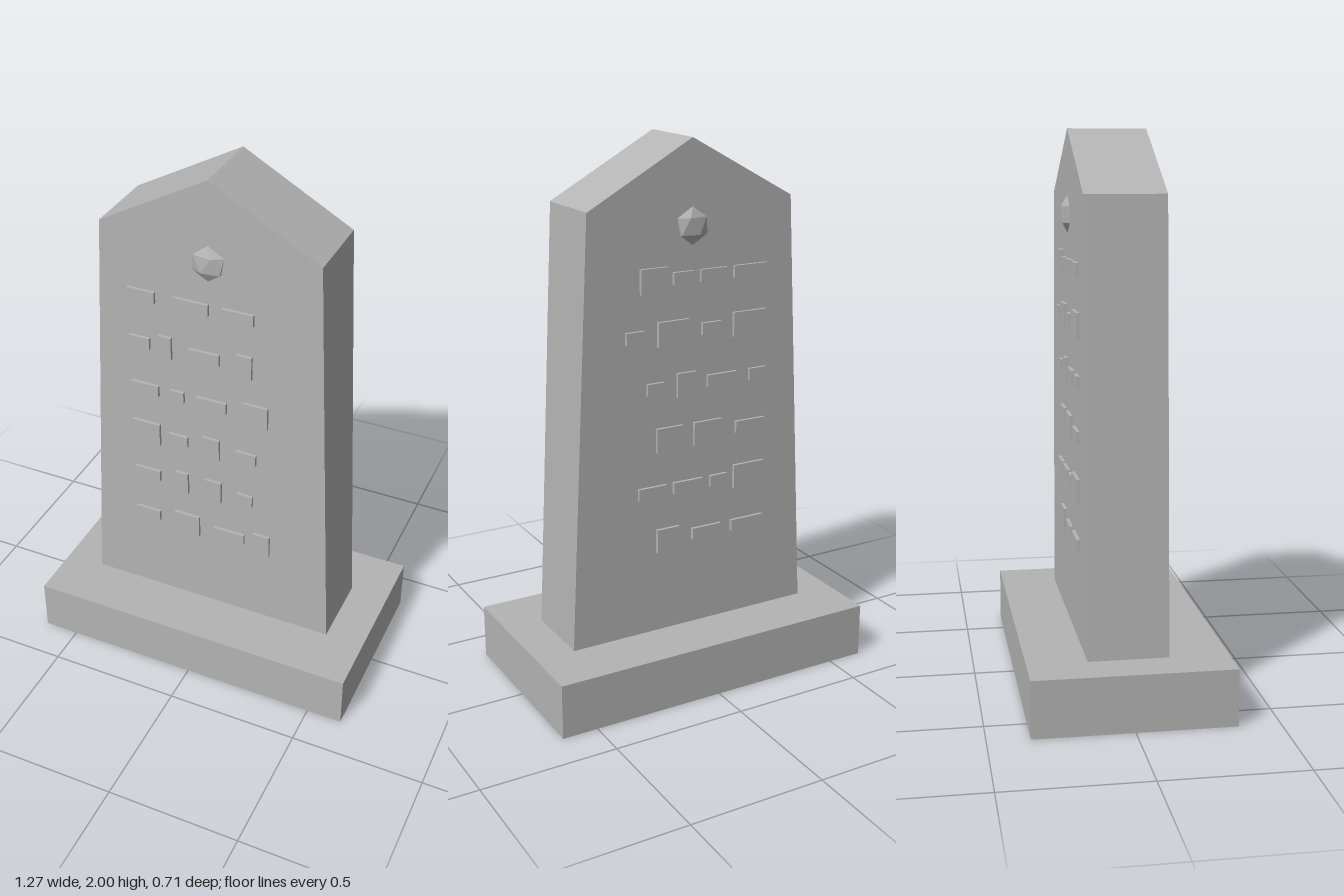
import * as THREE from 'three';
import { ConvexGeometry } from 'three/addons/geometries/ConvexGeometry.js';

const HALF_DEPTH = 0.142;
const ROW_Y = [1.524, 1.332, 1.138, 0.945, 0.753, 0.56];

// Raised marks per row, top to bottom: [x start, x end, tall?]
const FRONT_MARKS = [
  [[-0.305, -0.2], [-0.13, 0.003], [0.053, 0.17]],
  [[-0.305, -0.225], [-0.19, -0.14, 1], [-0.073, 0.043], [0.107, 0.166, 1]],
  [[-0.305, -0.195], [-0.147, -0.095], [-0.047, 0.07], [0.134, 0.228, 1]],
  [[-0.305, -0.195, 1], [-0.158, -0.083], [-0.025, 0.043, 1], [0.106, 0.186]],
  [[-0.305, -0.2], [-0.136, -0.084, 1], [-0.015, 0.05, 1], [0.113, 0.175]],
  [[-0.305, -0.205], [-0.143, -0.041, 1], [0.017, 0.143], [0.18, 0.245, 1]],
];
const BACK_MARKS = [
  [[-0.305, -0.167], [-0.137, -0.03], [0, 0.078], [0.1, 0.207, 1]],
  [[-0.305, -0.167, 1], [-0.114, -0.037], [0.017, 0.14, 1], [0.193, 0.265]],
  [[-0.305, -0.236], [-0.182, -0.06], [-0.013, 0.063, 1], [0.117, 0.183]],
  [[-0.305, -0.182], [-0.121, -0.006, 1], [0.04, 0.147, 1]],
  [[-0.305, -0.175, 1], [-0.144, -0.075], [-0.044, 0.078], [0.109, 0.22]],
  [[-0.305, -0.167], [-0.121, 0], [0.055, 0.147, 1]],
];

export function createModel() {
  const model = new THREE.Group();
  const stone = new THREE.MeshStandardMaterial({ color: 0xb4b4b4 });
  stone.name = 'grey stone';

  const add = (geometry, name, x, y, z, parent = model) => {
    const mesh = new THREE.Mesh(geometry, stone);
    mesh.name = name;
    mesh.position.set(x, y, z);
    parent.add(mesh);
  };

  // Plinth
  add(new THREE.BoxGeometry(1.266, 0.203, 0.706), 'plinth', 0, 0.1015, 0);

  // Tapered slab with a gabled top
  const outline = new THREE.Shape([
    [-0.486, 0.203], [0.486, 0.203], [0.403, 1.777], [0, 2], [-0.403, 1.777],
  ].map(([x, y]) => new THREE.Vector2(x, y)));
  const slab = new THREE.ExtrudeGeometry(outline, { depth: 2 * HALF_DEPTH, bevelEnabled: false });
  add(slab, 'slab', 0, 0, -HALF_DEPTH);

  // Faceted boss: a flattened icosahedron with its poles up and down
  const points = [new THREE.Vector3(0, 1, 0), new THREE.Vector3(0, -1, 0)];
  for (let i = 0; i < 10; i++) {
    const a = i * Math.PI / 5;
    points.push(new THREE.Vector3(0.894 * Math.cos(a), i % 2 ? -0.447 : 0.447, 0.894 * Math.sin(a)));
  }
  const boss = new ConvexGeometry(points).scale(0.067, 0.067, 0.025);

  // Bosses and raised inscription on both faces
  for (const [side, sign, rows] of [['front', 1, FRONT_MARKS], ['back', -1, BACK_MARKS]]) {
    add(boss, side + 'Boss', 0, 1.7, sign * HALF_DEPTH);
    const inscription = new THREE.Group();
    inscription.name = side + 'Inscription';
    model.add(inscription);
    rows.forEach((row, r) => row.forEach(([x0, x1, tall]) => {
      const mark = new THREE.BoxGeometry(x1 - x0, tall ? 0.09 : 0.044, 0.024);
      add(mark, 'raisedMark', (x0 + x1) / 2, ROW_Y[r], sign * HALF_DEPTH, inscription);
    }));
  }
  return model;
}
